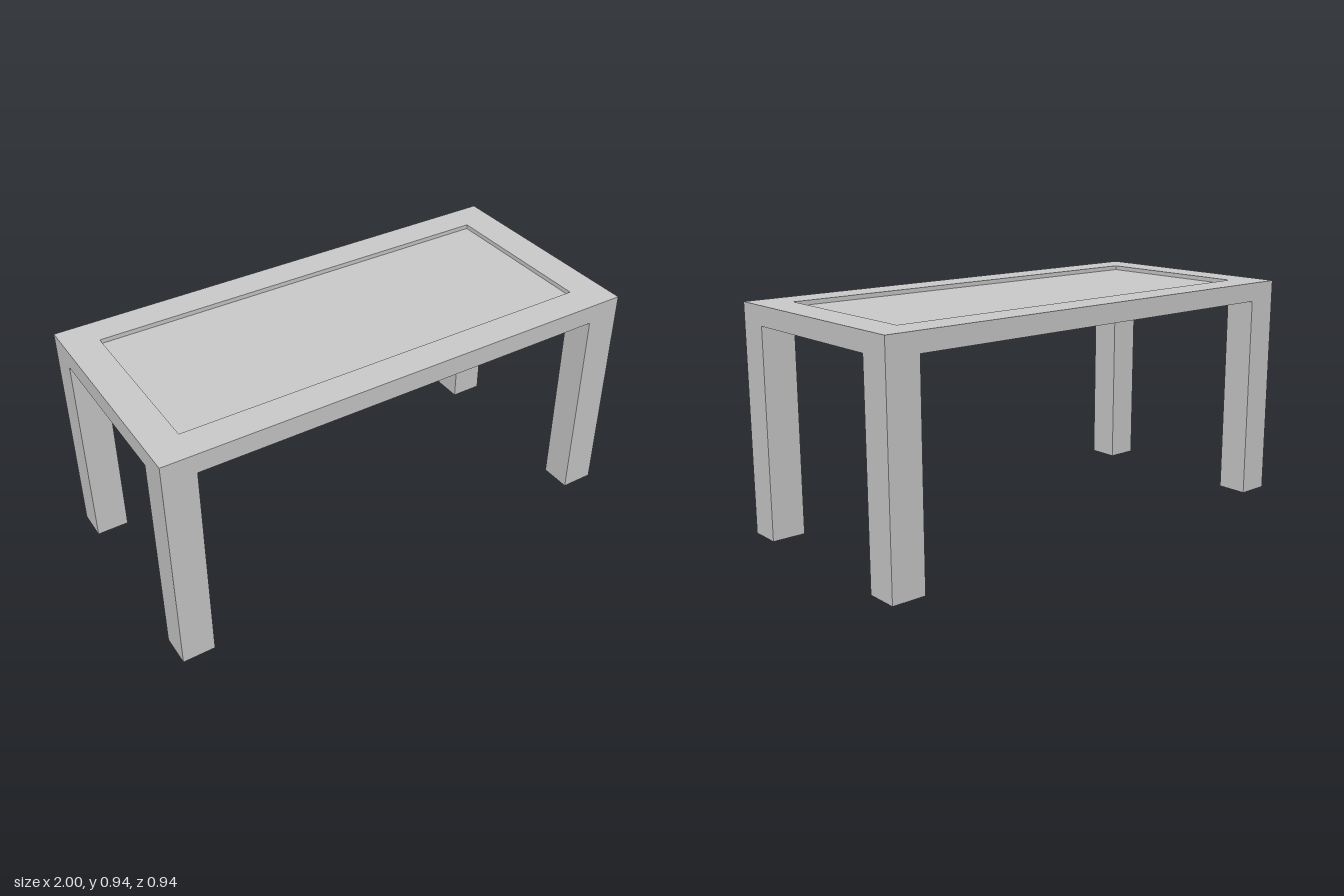
import * as THREE from 'three';

export function createModel() {
  const group = new THREE.Group();
  group.name = 'table';
  const material = new THREE.MeshStandardMaterial({ color: 0xcccccc, flatShading: true });

  const top = 0.938, under = 0.86;          // frame heights
  const X = 1, Z = 0.47;                    // outer half sizes
  const inRight = -0.868, inLeft = 0.862, inZ = 0.34; // inner opening

  // Rectangle outline, for the frame and its opening
  const rect = (Type, x0, x1, z) => new Type([
    new THREE.Vector2(x0, -z), new THREE.Vector2(x1, -z),
    new THREE.Vector2(x1, z), new THREE.Vector2(x0, z),
  ]);

  // Box given by its limits
  const addBox = (name, x0, x1, y0, y1, z0, z1) => {
    const mesh = new THREE.Mesh(new THREE.BoxGeometry(x1 - x0, y1 - y0, z1 - z0), material);
    mesh.position.set((x0 + x1) / 2, (y0 + y1) / 2, (z0 + z1) / 2);
    mesh.name = name;
    group.add(mesh);
  };

  // Table top frame
  const outline = rect(THREE.Shape, -X, X, Z);
  outline.holes.push(rect(THREE.Path, inRight, inLeft, inZ));
  const frameGeometry = new THREE.ExtrudeGeometry(outline, { depth: top - under, bevelEnabled: false });
  frameGeometry.rotateX(-Math.PI / 2).translate(0, under, 0);
  const frame = new THREE.Mesh(frameGeometry, material);
  frame.name = 'topFrame';
  group.add(frame);

  // Panel recessed from both faces of the frame
  addBox('topPanel', inRight, inLeft, under + 0.018, top - 0.018, -inZ, inZ);

  // Legs, with slightly uneven feet
  addBox('frontRightLeg', -X, inRight, 0, under, inZ, Z);
  addBox('frontLeftLeg', inLeft, X, 0.012, under, inZ, Z);
  addBox('backRightLeg', -X, inRight, 0.01, under, -Z, -inZ);
  addBox('backLeftLeg', inLeft, X, 0.01, under, -Z, -inZ);

  return group;
}
